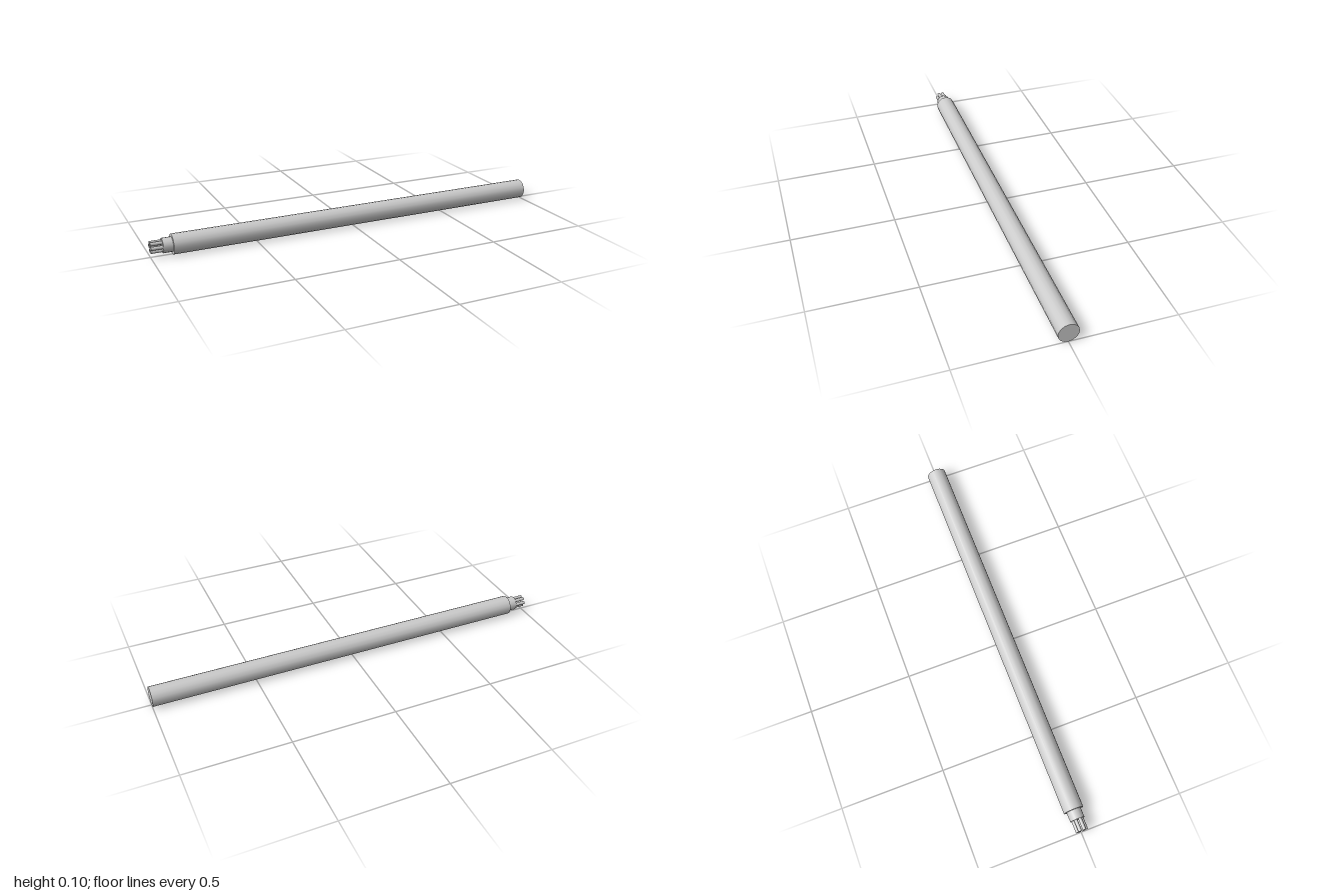
import * as THREE from 'three';

const material = new THREE.MeshStandardMaterial({ color: 0xcccccc });
const AXIS_Y = 0.047;

// Capped cylinder lying along x from x0 to x1
function rod(name, x0, x1, radius, sides, y = 0, z = 0) {
  const geometry = new THREE.CylinderGeometry(radius, radius, x1 - x0, sides);
  geometry.rotateZ(Math.PI / 2);
  const mesh = new THREE.Mesh(geometry, material);
  mesh.name = name;
  mesh.position.set((x0 + x1) / 2, y, z);
  return mesh;
}

export function createModel() {
  const group = new THREE.Group();
  group.name = 'strippedCable';

  const cable = new THREE.Group();
  cable.name = 'cable';
  cable.position.y = AXIS_Y;
  group.add(cable);

  // Outer jacket and the stepped inner insulation
  cable.add(rod('outerJacket', -0.9, 1, 0.048, 16));
  cable.add(rod('innerInsulation', -0.945, -0.89, 0.035, 16));

  // Ring of bare wire strands at the stripped end
  const count = 6;
  for (let i = 0; i < count; i++) {
    const a = (i / count) * Math.PI * 2;
    cable.add(rod('wireStrand' + (i + 1), -1, -0.935, 0.0085, 10,
      Math.sin(a) * 0.021, Math.cos(a) * 0.021));
  }
  return group;
}
